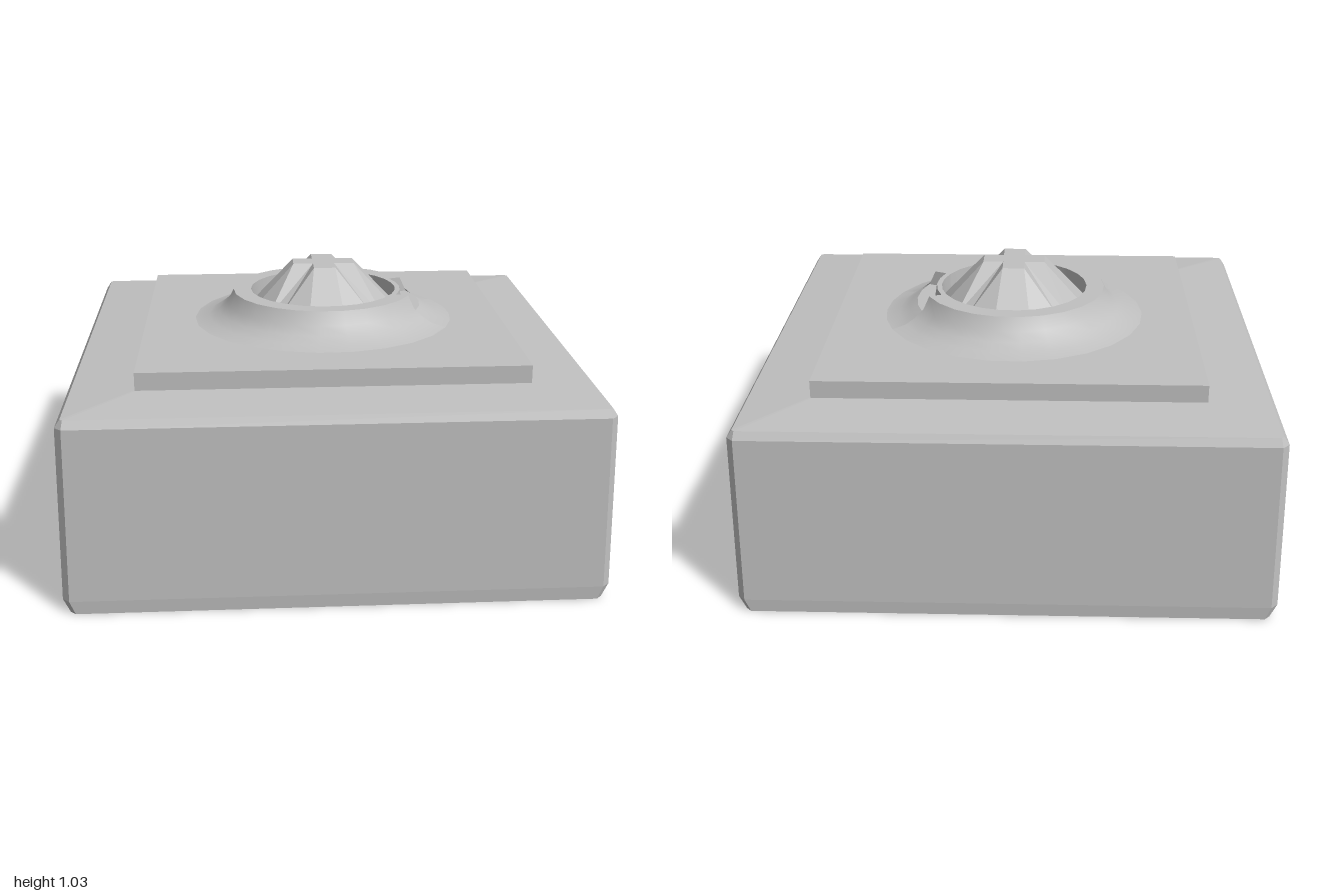
import * as THREE from 'three';
import { toCreasedNormals } from 'three/addons/utils/BufferGeometryUtils.js';

const grey = new THREE.MeshStandardMaterial({ color: 0xc0c0c0, side: THREE.DoubleSide });
grey.name = 'grey';

// Flat-faced geometry from convex polygons
function faceted(faces) {
  const pos = [];
  for (const f of faces)
    for (let i = 1; i < f.length - 1; i++) pos.push(...f[0], ...f[i], ...f[i + 1]);
  const g = new THREE.BufferGeometry();
  g.setAttribute('position', new THREE.Float32BufferAttribute(pos, 3));
  g.computeVertexNormals();
  return g;
}
const mirror = (faces, axis) =>
  faces.map(f => f.map(p => p.map((v, i) => (i === axis ? -v : v))).reverse());

// Chamfered rectangle at height y
const ring = ([y, hx, hz, c]) => [
  [hx, y, hz - c], [hx, y, c - hz], [hx - c, y, -hz], [c - hx, y, -hz],
  [-hx, y, c - hz], [-hx, y, hz - c], [c - hx, y, hz], [hx - c, y, hz],
];

export function createModel() {
  const model = new THREE.Group();
  const add = (name, geometry) => {
    const m = new THREE.Mesh(geometry, grey);
    m.name = name;
    model.add(m);
    return m;
  };

  // Housing shell, leaving the two x walls open for the clip panels
  const rings = [
    [0, 0.95, 0.965, 0.02], [0.05, 0.975, 0.968, 0.025], [0.69, 0.965, 0.96, 0.025],
    [0.72, 0.945, 0.945, 0.01], [0.74, 0.7, 0.7, 0.005],
  ].map(ring);
  const shell = [];
  for (let l = 0; l < rings.length - 1; l++)
    for (let i = 0; i < 8; i++) {
      if (l === 1 && i % 4 === 0) continue;
      const j = (i + 1) % 8;
      shell.push([rings[l][i], rings[l][j], rings[l + 1][j], rings[l + 1][i]]);
    }
  add('housing', faceted(shell));

  // Bowed side walls with a raised clip and an undercut notch
  const m = p => [p[0], p[1], -p[2]];
  const Wb = [0.975, 0.05, 0.943], Wt = [0.965, 0.69, 0.935];
  const B = [0.975, 0.05, 0.12], T = [0.998, 0.4, 0.075];
  const P = [1, 0.05, 0.1], N = [0.999, 0.31, 0.03], I = [0.96, 0.36, 0.03];
  const wallHalf = [[Wb, B, T, Wt]];
  const clipHalf = [[P, N, T], [T, N, I], [B, P, T]];
  const wall = [...wallHalf, ...mirror(wallHalf, 2), [Wt, T, m(T), m(Wt)]];
  const clip = [
    ...clipHalf, ...mirror(clipHalf, 2),
    [P, m(P), m(N), N], [N, m(N), m(I), I], [I, m(I), m(T), T], [B, m(B), m(P), P],
  ];
  add('leftWall', faceted(wall));
  add('rightWall', faceted(mirror(wall, 0)));
  add('leftClip', faceted(clip));
  add('rightClip', faceted(mirror(clip, 0)));

  // Underside with a slot and two small corner dimples
  const under = new THREE.Shape(rings[0].map(p => new THREE.Vector2(p[0], p[2])));
  const slot = [[-0.67, 0.66], [-0.24, 0.66], [-0.24, 0.85], [-0.67, 0.85]];
  under.holes.push(new THREE.Path(slot.map(p => new THREE.Vector2(...p))));
  const r = 0.07;
  for (const [x, z] of [[0.86, -0.85], [-0.86, 0.86]]) {
    const pts = [];
    for (let i = 0; i < 8; i++) {
      const a = (i * Math.PI) / 4;
      pts.push(new THREE.Vector2(x + r * Math.sin(a), z + r * Math.cos(a)));
    }
    under.holes.push(new THREE.Path(pts));
    const dimple = new THREE.ConeGeometry(r, 0.06, 8, 1, true).toNonIndexed();
    dimple.computeVertexNormals();
    add('cornerDimple', dimple).position.set(x, 0.03, z);
  }
  add('underside', new THREE.ShapeGeometry(under).rotateX(Math.PI / 2));
  const at = ([x, z], y) => [x, y, z];
  const slotFaces = slot.map((p, i) => {
    const q = slot[(i + 1) % 4];
    return [at(p, 0), at(q, 0), at(q, 0.2), at(p, 0.2)];
  });
  slotFaces.push(slot.map(p => at(p, 0.2)));
  add('undersideSlot', faceted(slotFaces));

  // Raised square plate
  add('topPlate', new THREE.BoxGeometry(1.42, 0.07, 1.42)).position.y = 0.77;

  // Flared collar with a notch cut into its left side
  const v = pts => pts.map(p => new THREE.Vector2(...p));
  const full = v([[0.29, 0.85], [0.29, 0.92], [0.36, 0.92], [0.385, 0.87], [0.42, 0.84], [0.46, 0.817], [0.52, 0.804]].reverse());
  const low = v([[0.29, 0.85], [0.29, 0.92], [0.31, 0.92], [0.32, 0.86], [0.39, 0.86], [0.42, 0.84], [0.46, 0.817], [0.52, 0.804]].reverse());
  const half = 0.42;
  const lathe = (p, n, start, len) =>
    toCreasedNormals(new THREE.LatheGeometry(p, n, start, len), 0.5);
  add('collar', lathe(full, 22, Math.PI / 2 + half, Math.PI * 2 - 2 * half));
  add('collarNotch', lathe(low, 4, Math.PI / 2 - half, 2 * half));
  for (const s of [-1, 1]) {
    const end = new THREE.Shape(v([[0.31, 0.86], [0.39, 0.86], [0.36, 0.92], [0.31, 0.92]]));
    add('notchEnd', new THREE.ShapeGeometry(end).rotateY(s * half));
  }

  // Faceted knob with a cross-shaped top and four diagonal cuts
  const top = 1.03, arm = 0.12, w = 0.042, dome = [];
  for (let k = 0; k < 4; k++) {
    const c = Math.round(Math.cos((k * Math.PI) / 2)), s = Math.round(Math.sin((k * Math.PI) / 2));
    const pt = (x, y, z) => [x * c + z * s, y, -x * s + z * c];
    const rim = deg => {
      const a = (deg * Math.PI) / 180;
      return pt(0.292 * Math.cos(a), 0.855, 0.292 * Math.sin(a));
    };
    const A = pt(arm, top, w), A2 = pt(arm, top, -w), C = pt(w, top, w);
    const C2 = pt(w, top, -w), D = pt(w, top, arm);
    dome.push(
      [A, A2, C2, C], [A, rim(14), rim(-14), A2],
      [A, rim(40), rim(14)], [A2, rim(-14), rim(-40)],
      [A, C, rim(40)], [C, rim(50), rim(40)], [C, D, rim(50)],
    );
  }
  dome.push([[w, top, w], [w, top, -w], [-w, top, -w], [-w, top, w]]);
  add('knob', faceted(dome));

  return model;
}
